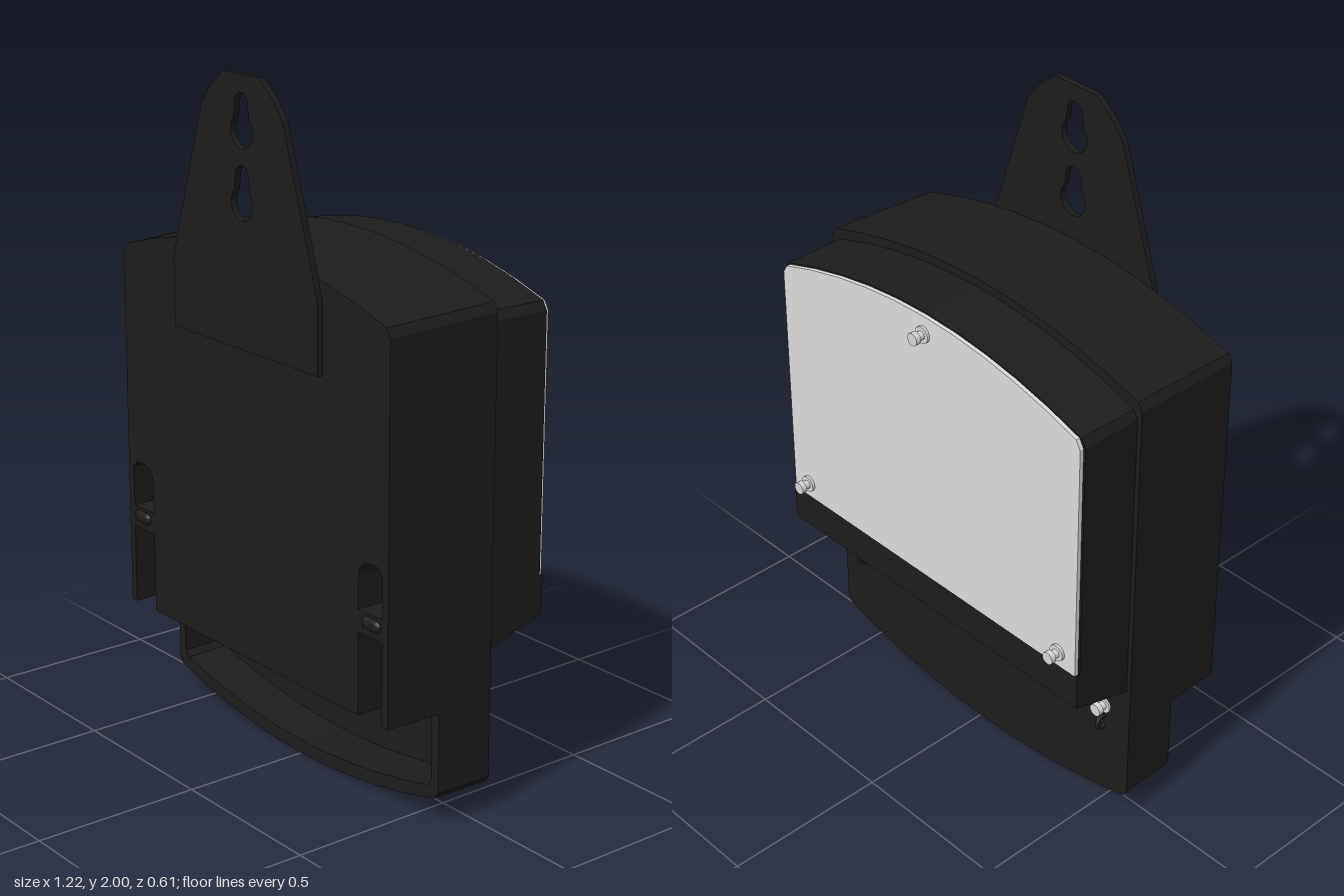
import * as THREE from 'three';

const casing = new THREE.MeshStandardMaterial({ color: 0x1c1c1c });
casing.name = 'black casing';
const plateGrey = new THREE.MeshStandardMaterial({ color: 0xdbdbdb });
plateGrey.name = 'light grey plate';
const steel = new THREE.MeshStandardMaterial({ color: 0xd6d6d6 });
steel.name = 'screw steel';

const W = 0.612;

// Points along a shallow arch from x0 to x1; y is the height at |x| = w
function arch(x0, x1, w, y, rise, n = 10) {
  return Array.from({ length: n + 1 }, (_, i) => {
    const x = x0 + (x1 - x0) * i / n;
    return [x, y + rise * (1 - (x / w) ** 2)];
  });
}
const shapeOf = pts => new THREE.Shape(pts.map(p => new THREE.Vector2(p[0], p[1])));

// Arched top edge with small cut corners, from right to left
const topEdge = (w, y, rise) => [
  [w, y - 0.02], ...arch(w - 0.015, -w + 0.015, w, y, rise), [-w, y - 0.02]];
// Bowed bottom edge, from left to right
const bottomEdge = (w, y, drop) => [
  [-w, y + 0.015], ...arch(-w + 0.015, w - 0.015, w, y, -drop), [w, y + 0.015]];

function slab(shape, z0, z1) {
  const g = new THREE.ExtrudeGeometry(shape, { depth: z1 - z0, bevelEnabled: false, curveSegments: 10 });
  return g.translate(0, 0, z0);
}

// Taper the case towards +z
function draft(g) {
  const p = g.attributes.position;
  for (let i = 0; i < p.count; i++) {
    const t = (p.getZ(i) + 0.06) / 0.345;
    p.setX(i, p.getX(i) * (1 - 0.018 * t));
    if (p.getY(i) > 1.3) p.setY(i, p.getY(i) - 0.014 * t);
  }
  g.computeVertexNormals();
  return g;
}

// Pear-shaped hanging hole
function keyhole(cy) {
  const h = new THREE.Path();
  h.moveTo(0.028, cy + 0.075);
  h.absarc(0, cy + 0.075, 0.028, 0, Math.PI, false);
  h.lineTo(-0.034, cy + 0.035);
  h.absarc(0, cy, 0.048, Math.PI * 0.8, Math.PI * 2.2, false);
  h.lineTo(0.034, cy + 0.035);
  h.closePath();
  return h;
}

// Pocket with a large rounded inner corner and a small outer one
function pocket(s) {
  const h = new THREE.Path();
  h.moveTo(s * 0.485, 0.645);
  h.lineTo(s * 0.485, 0.73);
  h.quadraticCurveTo(s * 0.487, 0.782, s * 0.535, 0.785);
  h.lineTo(s * 0.565, 0.785);
  h.lineTo(s * 0.587, 0.765);
  h.lineTo(s * 0.587, 0.645);
  h.closePath();
  return h;
}

export function createModel() {
  const root = new THREE.Group();
  root.name = 'meterCase';
  const add = (name, geo, mat, x = 0, y = 0, z = 0, parent = root) => {
    const m = new THREE.Mesh(geo, mat);
    m.name = name;
    m.position.set(x, y, z);
    parent.add(m);
  };

  // Full-height face wall
  add('faceWall', draft(slab(shapeOf([
    ...bottomEdge(W, 0.09, 0.087), ...topEdge(W, 1.445, 0.102)]), -0.066, -0.03)), casing);

  // Main case with two bottom notches; the outer layer also has screw pockets
  const caseOutline = () => shapeOf([
    [-W, 0.34], [-0.587, 0.34], [-0.587, 0.58], [-0.485, 0.58], [-0.485, 0.34],
    [0.485, 0.34], [0.485, 0.58], [0.587, 0.58], [0.587, 0.34], [W, 0.34],
    ...topEdge(W, 1.445, 0.102)]);
  add('innerCase', draft(slab(caseOutline(), -0.03, 0.18)), casing);
  const outer = caseOutline();
  outer.holes.push(pocket(-1), pocket(1));
  add('outerCase', draft(slab(outer, 0.18, 0.286)), casing);

  // Terminal cover rim, open towards +z
  const wi = W - 0.03;
  add('terminalCoverRim', draft(slab(shapeOf([
    ...bottomEdge(W, 0.09, 0.087), [W, 0.375], [wi, 0.375],
    ...bottomEdge(wi, 0.12, 0.075).reverse(), [-wi, 0.375], [-W, 0.375]]), -0.03, 0.112)), casing);

  // Display housing and its sloping lower lip
  const w2 = 0.597;
  add('displayHousing', slab(shapeOf([
    [-w2, 0.6], [w2, 0.6], ...topEdge(w2, 1.415, 0.108)]), -0.253, -0.06), casing);
  const lip = new THREE.ExtrudeGeometry(shapeOf([
    [0.06, 0.645], [0.06, 0.474], [0.262, 0.532], [0.264, 0.645]]),
  { depth: 2 * w2, bevelEnabled: false });
  lip.rotateY(Math.PI / 2).translate(-w2, 0, 0);
  add('housingLip', lip, casing);
  const w3 = 0.59;
  add('displayPlate', slab(shapeOf([
    [-w3, 0.645], [w3, 0.645], ...topEdge(w3, 1.412, 0.106)]), -0.265, -0.253), plateGrey);

  // Hanging bracket with two keyholes
  const bracket = shapeOf([
    [-0.325, 1.25], [0.325, 1.25], [0.325, 1.45], [0.3, 1.53], [0.2, 1.84], [0.18, 1.9],
    [0.14, 1.95], [0.08, 2], [-0.08, 2], [-0.14, 1.95], [-0.18, 1.9], [-0.2, 1.84],
    [-0.3, 1.53], [-0.325, 1.45]]);
  bracket.holes.push(keyhole(1.849), keyhole(1.654));
  add('hangingBracket', slab(bracket, 0.284, 0.302), casing);

  // Sealing screws with washer, neck and head
  const screw = (name, x, y, z) => {
    const g = new THREE.Group();
    g.name = name;
    g.position.set(x, y, z);
    for (const [r, h, c] of [[0.025, 0.008, 0.004], [0.013, 0.025, 0.018], [0.019, 0.016, 0.033]]) {
      add('screwPart', new THREE.CylinderGeometry(r, r, h, 14).rotateX(Math.PI / 2), steel, 0, 0, -c, g);
    }
    root.add(g);
  };
  screw('topScrew', 0, 1.462, -0.265);

  for (const s of [-1, 1]) {
    screw('plateScrew', s * 0.525, 0.692, -0.265);
    screw('coverScrew', s * 0.515, 0.378, -0.064);
    // Screw ends inside the pockets and notches
    const tip = new THREE.CylinderGeometry(0.019, 0.019, 0.03, 12).rotateX(Math.PI / 2);
    add('pocketScrewEnd', tip, steel, s * 0.527, 0.692, 0.19);
    add('notchScrewEnd', tip, steel, s * 0.513, 0.378, -0.02);
    // Sealing loop under each cover screw
    add('sealLoop', new THREE.TorusGeometry(0.02, 0.006, 8, 16).rotateY(Math.PI / 2),
      casing, s * 0.515, 0.318, -0.074);
    // Raised rounded foot
    const foot = new THREE.CapsuleGeometry(0.019, 0.04, 4, 10).rotateZ(Math.PI / 2).scale(1, 1, 0.5);
    add('foot', foot, casing, s * 0.532, 0.617, 0.286);
  }
  return root;
}
